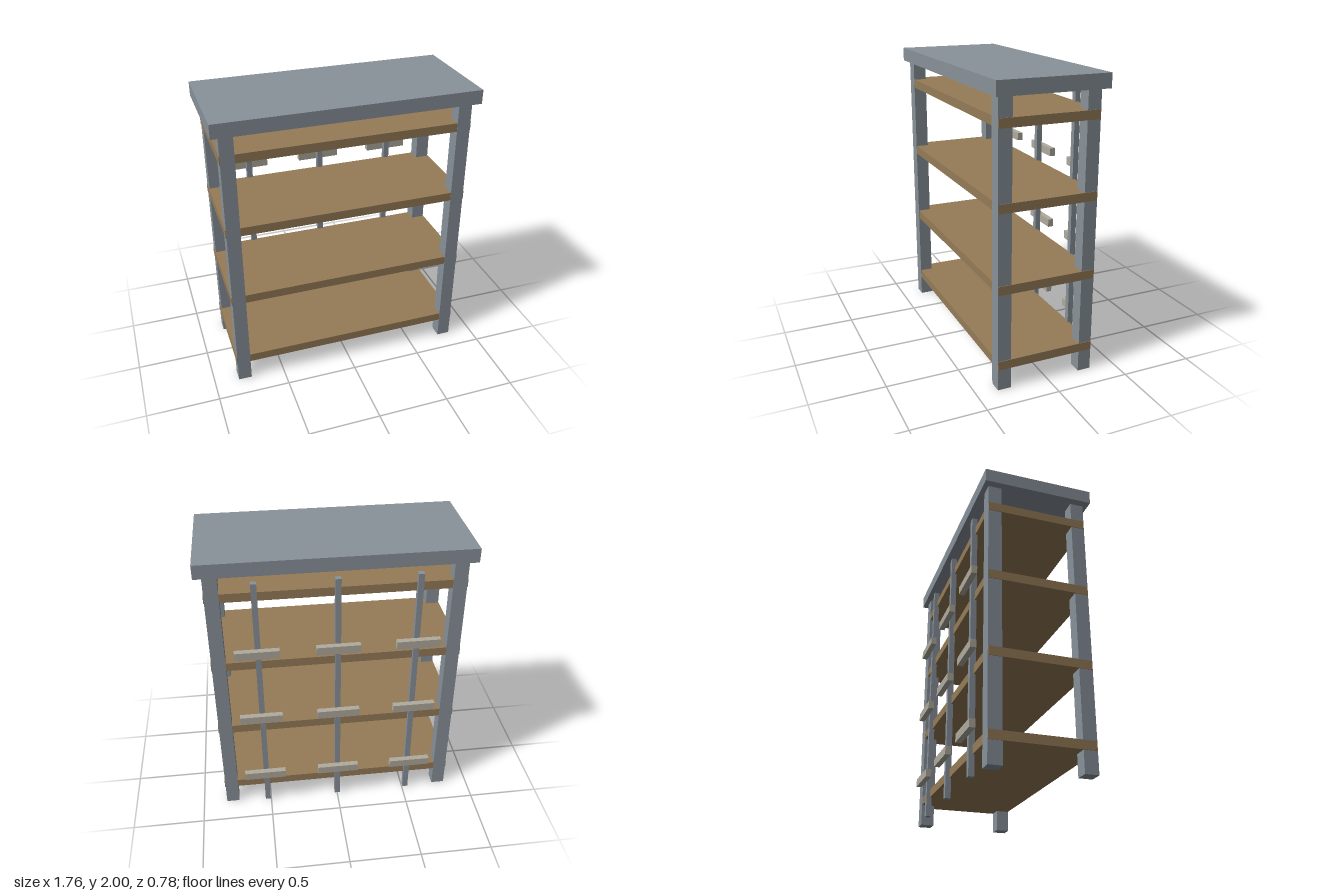
import * as THREE from 'three';

const material = (name, color) => {
  const m = new THREE.MeshStandardMaterial({ color });
  m.name = name;
  return m;
};

// Box given by its extents along each axis
function box(parent, name, mat, [x0, x1], [y0, y1], [z0, z1]) {
  const mesh = new THREE.Mesh(new THREE.BoxGeometry(x1 - x0, y1 - y0, z1 - z0), mat);
  mesh.position.set((x0 + x1) / 2, (y0 + y1) / 2, (z0 + z1) / 2);
  mesh.name = name;
  parent.add(mesh);
}

export function createModel() {
  const steel = material('grey steel', 0x89929a);
  const wood = material('brown wood', 0x967c58);
  const pale = material('pale grey beige', 0xb0ab9e);
  const model = new THREE.Group();
  model.name = 'shelvingUnit';

  // Overhanging top slab
  box(model, 'topSlab', steel, [-0.88, 0.88], [1.906, 2], [-0.36, 0.388]);

  // Four corner posts
  for (const side of [-1, 1]) {
    const x = side * 0.784;
    const label = side > 0 ? 'Left' : 'Right';
    box(model, `front${label}Post`, steel, [x - 0.046, x + 0.046], [0, 1.906], [0.263, 0.354]);
    box(model, `back${label}Post`, steel, [x - 0.046, x + 0.046], [0, 1.906], [-0.325, -0.234]);
  }

  // Shelves, slightly proud of the posts at the ends
  for (const y of [0.176, 0.697, 1.228, 1.745]) {
    box(model, 'shelf', wood, [-0.834, 0.834], [y - 0.03, y + 0.03], [-0.323, 0.352]);
  }

  // Rear uprights, each carrying three short cross blocks
  for (const i of [-1, 0, 1]) {
    const rod = i * 0.523;
    box(model, 'rearUpright', steel, [rod - 0.019, rod + 0.019], [0.01, 1.844], [-0.348, -0.31]);
    for (const y of [0.29, 0.811, 1.343]) {
      const x = i * 0.53;
      box(model, 'crossBlock', pale, [x - 0.146, x + 0.146], [y - 0.028, y + 0.028], [-0.388, -0.349]);
    }
  }
  return model;
}
